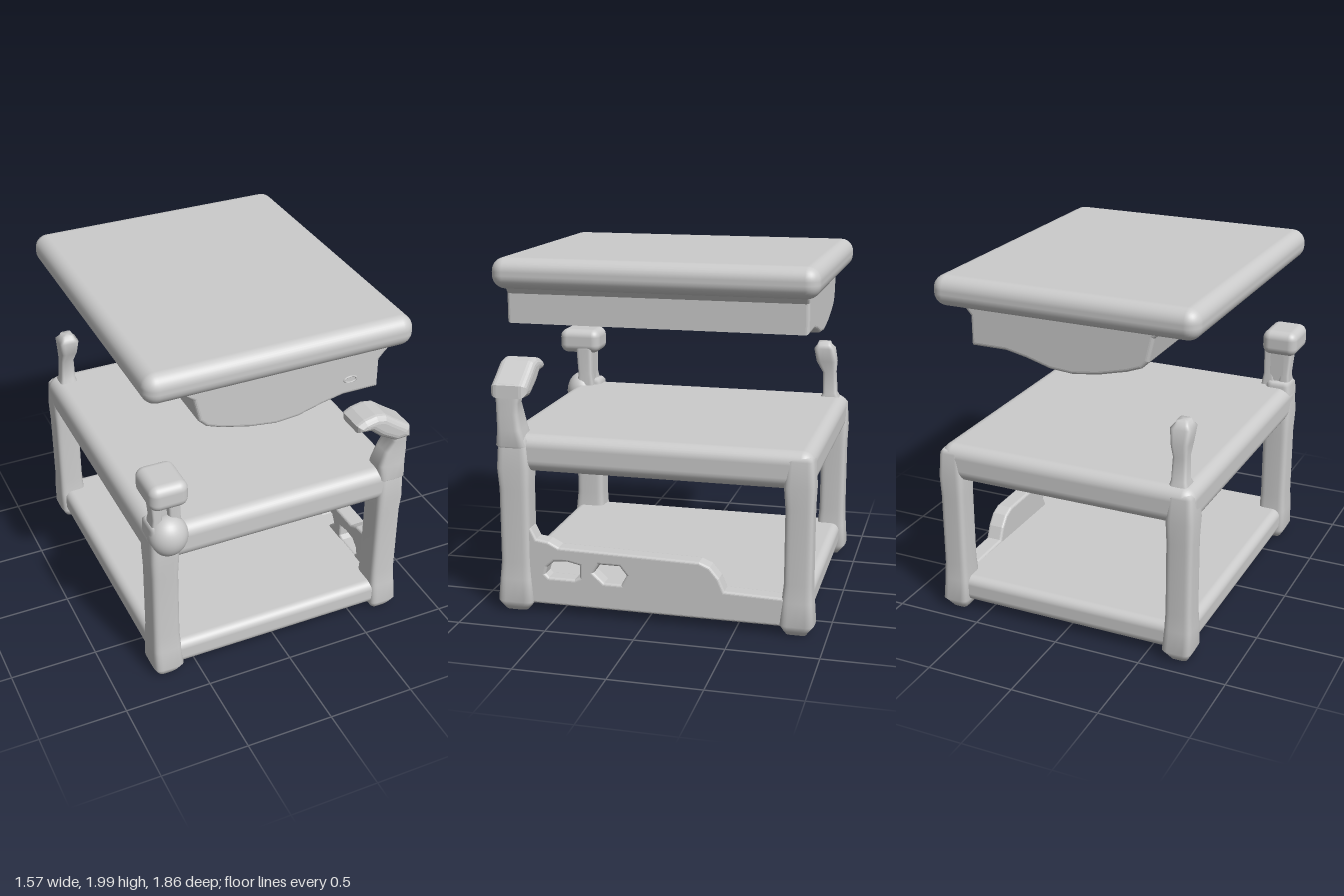
import * as THREE from 'three';
import { RoundedBoxGeometry } from 'three/addons/geometries/RoundedBoxGeometry.js';

const material = new THREE.MeshStandardMaterial({ color: 0xcccccc, side: THREE.DoubleSide });

// Rounded box given by its limits on each axis
function slab(name, [x0, x1], [y0, y1], [z0, z1], r) {
  const mesh = new THREE.Mesh(new RoundedBoxGeometry(x1 - x0, y1 - y0, z1 - z0, 4, r), material);
  mesh.position.set((x0 + x1) / 2, (y0 + y1) / 2, (z0 + z1) / 2);
  mesh.name = name;
  return mesh;
}

// Soft upright from squarish sections [y, x0, x1, z0, z1], closed at both ends
function upright(name, sections, n = 32) {
  const cap = (s, k) => {
    const [y, a, b, c, d] = s, mx = (a + b) / 2, mz = (c + d) / 2;
    return [y, mx + (a - mx) * k, mx + (b - mx) * k, mz + (c - mz) * k, mz + (d - mz) * k];
  };
  const first = sections[0], last = sections[sections.length - 1];
  const rings = [cap(first, 0), cap(first, 0.8), ...sections, cap(last, 0.8), cap(last, 0)];
  rings[2] = [first[0] + 0.02, ...first.slice(1)];
  rings[rings.length - 3] = [last[0] - 0.02, ...last.slice(1)];
  const soft = (v) => Math.sign(v) * Math.pow(Math.abs(v), 0.4);
  const pos = [], index = [];
  rings.forEach(([y, x0, x1, z0, z1], i) => {
    for (let j = 0; j < n; j++) {
      const t = (j / n) * Math.PI * 2;
      pos.push((x0 + x1) / 2 + soft(Math.cos(t)) * (x1 - x0) / 2, y,
        (z0 + z1) / 2 + soft(Math.sin(t)) * (z1 - z0) / 2);
      if (i === rings.length - 1) continue;
      const a = i * n + j, b = i * n + (j + 1) % n;
      index.push(a, a + n, b, b, a + n, b + n);
    }
  });
  const g = new THREE.BufferGeometry();
  g.setAttribute('position', new THREE.Float32BufferAttribute(pos, 3));
  g.setIndex(index);
  g.computeVertexNormals();
  const mesh = new THREE.Mesh(g, material);
  mesh.name = name;
  return mesh;
}

const outline = (pts, Type = THREE.Shape) => new Type(pts.map(([x, y]) => new THREE.Vector2(x, y)));

function extrude(name, shape, depth, bevel) {
  const g = new THREE.ExtrudeGeometry(shape, {
    depth: depth - 2 * bevel, bevelEnabled: true, bevelSize: bevel, bevelOffset: -bevel,
    bevelThickness: bevel, bevelSegments: 4, curveSegments: 16,
  });
  g.translate(0, 0, bevel);
  const mesh = new THREE.Mesh(g, material);
  mesh.name = name;
  return mesh;
}

function createModel() {
  const model = new THREE.Group();

  // Shelves
  model.add(slab('bottomShelf', [-0.74, 0.75], [0.06, 0.215], [-0.89, 0.84], 0.05));
  model.add(slab('middleShelf', [-0.76, 0.75], [0.82, 1.03], [-0.91, 0.84], 0.07));

  // Legs, flared at the feet and under the middle shelf
  const leg = (name, x0, x1, z0, z1, top) => upright(name, [
    [0.01, x0 + 0.02, x1 - 0.02, z0 + 0.02, z1 - 0.01],
    [0.07, x0, x1 + 0.01, z0 - 0.01, z1 + 0.01], [0.2, x0, x1, z0, z1],
    [0.3, x0 + 0.005, x1 - 0.005, z0 + 0.005, z1 - 0.01],
    [0.72, x0 + 0.005, x1 - 0.005, z0 + 0.005, z1 - 0.01],
    [0.84, x0, x1, z0, z1], [top, x0 + 0.01, x1 - 0.01, z0 + 0.01, z1 - 0.01],
  ]);
  model.add(leg('frontRightLeg', -0.765, -0.595, 0.66, 0.85, 1.06));
  model.add(leg('backRightLeg', -0.765, -0.605, -0.92, -0.75, 1.0));
  model.add(leg('frontLeftLeg', 0.61, 0.775, 0.66, 0.85, 1.02));
  model.add(leg('backLeftLeg', 0.61, 0.76, -0.92, -0.75, 1.0));

  // Rounded knob on the front corner
  const knob = new THREE.Mesh(new THREE.SphereGeometry(1, 32, 20), material);
  knob.scale.set(0.11, 0.12, 0.1);
  knob.position.set(-0.65, 0.98, 0.8);
  knob.name = 'cornerKnob';
  model.add(knob);

  // Side panel with two openings, drawn as [-z, y]
  const panel = outline([[-0.8, 0.06], [-0.8, 0.5], [-0.66, 0.5], [-0.63, 0.44], [-0.56, 0.43], [-0.5, 0.4],
    [0.3, 0.385], [0.36, 0.36], [0.41, 0.3], [0.44, 0.23], [0.8, 0.22], [0.8, 0.06]].reverse());
  const openings = [
    [[-0.58, 0.24], [-0.57, 0.28], [-0.53, 0.315], [-0.45, 0.32], [-0.38, 0.305], [-0.38, 0.235], [-0.41, 0.22], [-0.56, 0.22]],
    [[-0.3, 0.27], [-0.27, 0.32], [-0.15, 0.32], [-0.11, 0.27], [-0.14, 0.215], [-0.24, 0.215]],
  ];
  openings.forEach((p) => panel.holes.push(outline(p, THREE.Path)));
  const sidePanel = extrude('sidePanel', panel, 0.1, 0.015);
  sidePanel.rotation.y = Math.PI / 2;
  sidePanel.position.x = 0.65;
  model.add(sidePanel);

  // Front right support: two rods and a block head
  model.add(upright('supportRodOuter', [[0.98, -0.75, -0.67, 0.7, 0.82], [1.1, -0.735, -0.68, 0.72, 0.81], [1.28, -0.75, -0.67, 0.72, 0.82]]));
  model.add(upright('supportRodInner', [[0.98, -0.66, -0.56, 0.7, 0.82], [1.1, -0.64, -0.575, 0.72, 0.81], [1.28, -0.65, -0.57, 0.72, 0.82]]));
  model.add(slab('supportWeb', [-0.72, -0.6], [1, 1.28], [0.72, 0.77], 0.02));
  model.add(slab('blockHead', [-0.785, -0.57], [1.235, 1.385], [0.67, 0.93], 0.05));

  // Front left support with a head leaning inwards
  model.add(upright('leaningSupport', [[0.95, 0.61, 0.775, 0.67, 0.85], [1.06, 0.61, 0.775, 0.7, 0.84],
    [1.15, 0.64, 0.775, 0.71, 0.84], [1.21, 0.68, 0.77, 0.71, 0.84], [1.32, 0.67, 0.77, 0.69, 0.85]]));
  const head = extrude('leaningHead', outline([[0.775, 1.24], [0.77, 1.31], [0.68, 1.37], [0.61, 1.42], [0.55, 1.43],
    [0.48, 1.415], [0.435, 1.39], [0.44, 1.345], [0.52, 1.34], [0.58, 1.29], [0.68, 1.235]].reverse()), 0.21, 0.04);
  head.position.z = 0.66;
  model.add(head);

  // Back right support, a slim rod with a swollen tip
  model.add(upright('backSupport', [[0.96, -0.73, -0.59, -0.89, -0.72], [1.05, -0.7, -0.61, -0.85, -0.765],
    [1.18, -0.695, -0.615, -0.84, -0.76], [1.25, -0.7, -0.6, -0.845, -0.72],
    [1.33, -0.71, -0.59, -0.83, -0.705], [1.37, -0.69, -0.61, -0.81, -0.72]]));

  // Raised top slab
  model.add(slab('topSlab', [-0.77, 0.745], [1.825, 1.995], [-0.915, 0.865], 0.075));

  // Bulging body under the top slab, with a small slot in its front face
  const body = outline([[-0.58, 1.86], [-0.51, 1.8], [-0.48, 1.67], [-0.44, 1.63], [-0.36, 1.6], [-0.2, 1.56],
    [-0.05, 1.54], [0.08, 1.55], [0.22, 1.59], [0.34, 1.615], [0.545, 1.615], [0.545, 1.78], [0.58, 1.82], [0.62, 1.86]]);
  const under = extrude('underBody', body, 1.68, 0.02);
  under.position.z = -0.84;
  model.add(under);
  const slotRim = new THREE.Mesh(new THREE.TorusGeometry(0.035, 0.007, 8, 20), material);
  slotRim.scale.y = 0.5;
  slotRim.position.set(0.375, 1.705, 0.84);
  slotRim.name = 'slotRim';
  model.add(slotRim);

  return model;
}

export { createModel };
